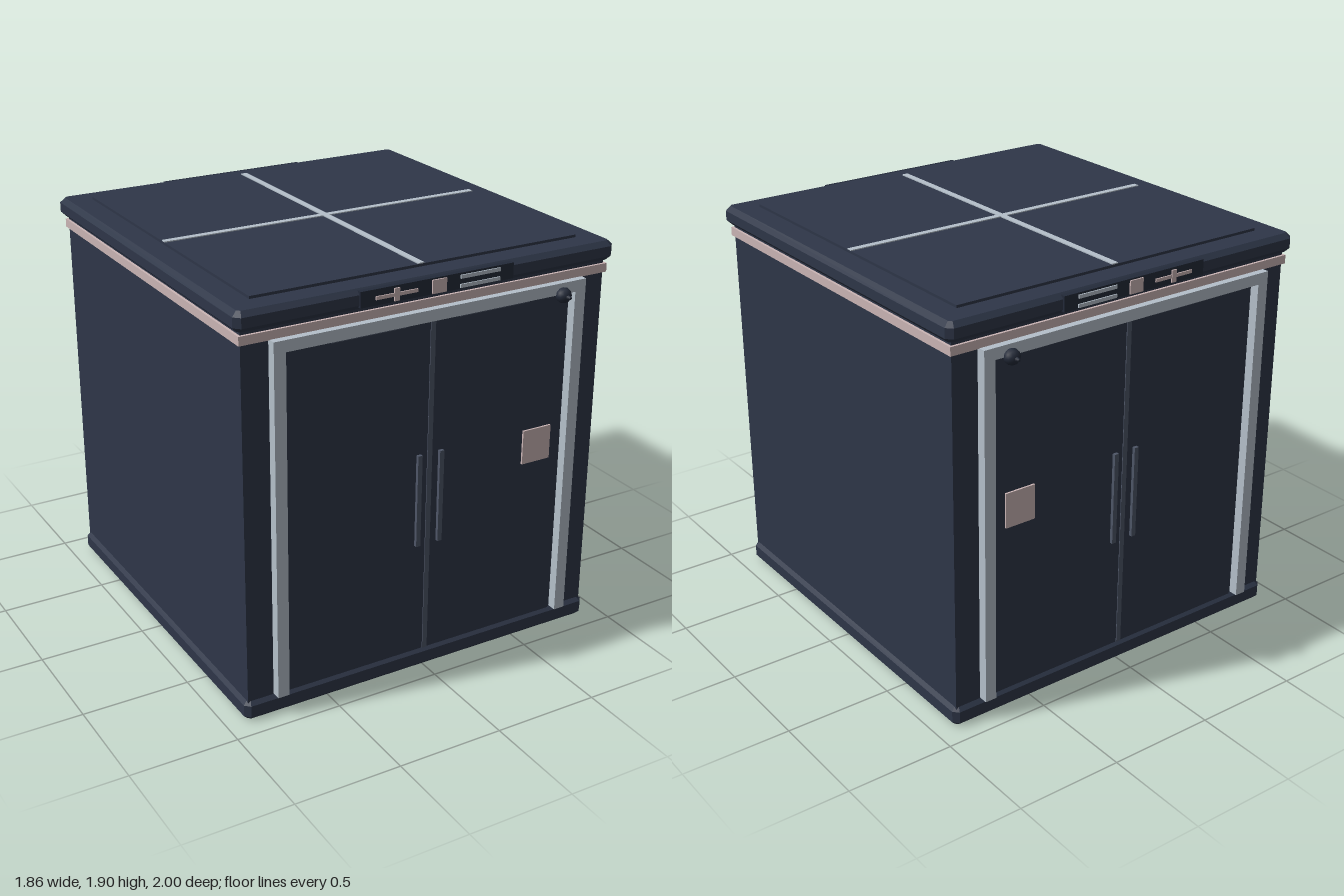
import * as THREE from 'three';

const mat = (name, color) => {
  const m = new THREE.MeshStandardMaterial({ color });
  m.name = name;
  return m;
};

export function createModel() {
  const navy = mat('navy', 0x2e3648);
  const darkNavy = mat('darkNavy', 0x232a39);
  const steel = mat('paleSteel', 0xb5c0ca);
  const pink = mat('dustyPink', 0xcab5b5);
  const slate = mat('slate', 0x4e5667);

  const model = new THREE.Group();
  model.name = 'cabin';

  const add = (parent, name, geometry, material) => {
    const mesh = new THREE.Mesh(geometry, material);
    mesh.name = name;
    parent.add(mesh);
    return mesh;
  };

  // Box given by its limits on each axis
  const box = (parent, name, material, [x0, x1], [y0, y1], [z0, z1]) => {
    const mesh = add(parent, name, new THREE.BoxGeometry(x1 - x0, y1 - y0, z1 - z0), material);
    mesh.position.set((x0 + x1) / 2, (y0 + y1) / 2, (z0 + z1) / 2);
    return mesh;
  };

  // Square slab with all edges chamfered
  const slab = (name, material, half, y0, y1, b) => {
    const h = half - b, c = h - b * 0.6;
    const outline = [[c, -h], [h, -c], [h, c], [c, h], [-c, h], [-h, c], [-h, -c], [-c, -h]];
    const shape = new THREE.Shape(outline.map(([x, y]) => new THREE.Vector2(x, y)));
    const geo = new THREE.ExtrudeGeometry(shape, {
      depth: y1 - y0 - 2 * b, bevelEnabled: true, bevelSize: b, bevelThickness: b, bevelSegments: 1,
    });
    geo.rotateX(-Math.PI / 2).translate(0, y0 + b, 0);
    return add(model, name, geo, material);
  };

  // Main shell
  slab('base', navy, 0.912, 0, 0.095, 0.02);
  box(model, 'body', navy, [-0.895, 0.895], [0.07, 1.81], [-0.895, 0.895]);
  box(model, 'trimBand', pink, [-0.907, 0.907], [1.74, 1.78], [-0.907, 0.907]);
  slab('lid', navy, 0.93, 1.797, 1.886, 0.022);
  box(model, 'roofPanel', navy, [-0.805, 0.805], [1.88, 1.898], [-0.805, 0.805]);
  box(model, 'roofBarAcross', steel, [-0.805, 0.805], [1.895, 1.9025], [-0.015, 0.015]);
  box(model, 'roofBarAlong', steel, [-0.015, 0.015], [1.895, 1.903], [-0.805, 0.805]);

  // One entrance face, built for +z (dir = 1) or mirrored to -z (dir = -1)
  const entrance = (name, dir) => {
    const g = new THREE.Group();
    g.name = name;
    model.add(g);
    const part = (label, material, xs, ys, z0, z1) =>
      box(g, label, material, xs, ys, dir > 0 ? [z0, z1] : [-z1, -z0]);

    // Door frame
    for (const s of [-1, 1]) {
      const span = (a, b) => (s > 0 ? [a, b] : [-b, -a]);
      part('framePost', steel, span(0.715, 0.77), [0.095, 1.74], 0.89, 0.94);
      part('door', navy, span(0.008, 0.7), [0.095, 1.69], 0.89, 0.906);
      part('doorHandle', slate, span(0.045, 0.067), [0.635, 1.075], 0.9, 0.922);
      part('doorTopStrip', slate, span(0.132, 0.49), [1.674, 1.69], 0.9, 0.912);
    }
    part('frameHeader', steel, [-0.77, 0.77], [1.69, 1.742], 0.89, 0.94);
    part('doorSeam', slate, [-0.012, 0.012], [0.095, 1.69], 0.89, 0.91);
    part('noticePlate', pink, [0.495, 0.645], [0.9, 1.063], 0.9, 0.915);

    // Sign on the lid edge
    part('signBoard', darkNavy, [-0.375, 0.375], [1.81, 1.88], 0.9, 0.94);
    part('signCrossBar', pink, [-0.305, -0.105], [1.835, 1.85], 0.935, 0.946);
    part('signCrossPost', pink, [-0.218, -0.193], [1.815, 1.87], 0.935, 0.947);
    part('signSquare', pink, [-0.035, 0.035], [1.813, 1.873], 0.935, 0.947);
    for (const y of [1.823, 1.863])
      part('signStripe', steel, [0.105, 0.305], [y - 0.008, y + 0.008], 0.935, 0.946);

    // Small faceted lamp with a pointed tip
    const lamp = new THREE.Group();
    lamp.name = 'lamp';
    lamp.position.set(0.643, 1.69, dir * 0.95);
    g.add(lamp);
    const bulb = new THREE.IcosahedronGeometry(0.036, 1);
    add(lamp, 'lampBulb', bulb, darkNavy);
    const tip = new THREE.CylinderGeometry(0.006, 0.012, 0.025, 6);
    tip.rotateX(dir * Math.PI / 2).translate(0, 0, dir * 0.0375);
    add(lamp, 'lampTip', tip, darkNavy);
  };

  entrance('frontEntrance', 1);
  entrance('backEntrance', -1);
  return model;
}
